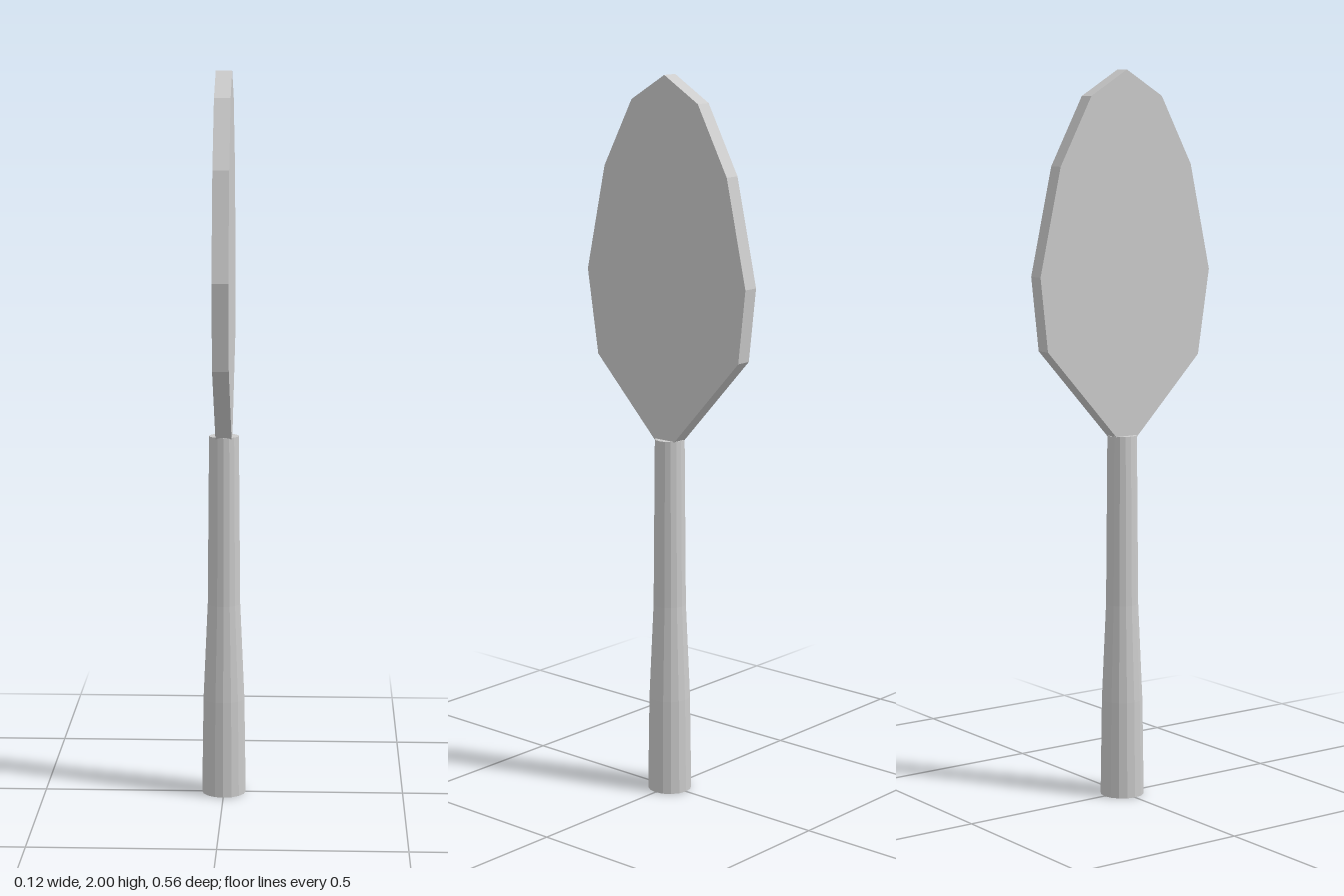
import * as THREE from 'three';

export function createModel() {
  const group = new THREE.Group();
  const material = new THREE.MeshStandardMaterial({ color: 0xcccccc, flatShading: true });

  // Handle: tapered low-poly turning, closed at both ends
  const profile = [[0, 0], [0.061, 0], [0.057, 0.27], [0.045, 0.54], [0.041, 1.01], [0, 1.01]]
    .map(([r, y]) => new THREE.Vector2(r, y));
  const handle = new THREE.Mesh(new THREE.LatheGeometry(profile, 16), material);
  handle.name = 'handle';
  group.add(handle);

  // Blade: flat faceted leaf outline (z, y) with its tip sunk into the handle
  const outline = [
    [0, 0.97], [0.245, 1.22], [0.282, 1.455], [0.217, 1.745], [0.117, 1.93], [0, 2],
    [-0.117, 1.93], [-0.217, 1.745], [-0.283, 1.455], [-0.26, 1.255],
  ].map(([z, y]) => new THREE.Vector2(z, y));
  const thickness = 0.044;
  const bladeGeometry = new THREE.ExtrudeGeometry(new THREE.Shape(outline), {
    depth: thickness, bevelEnabled: false,
  });
  bladeGeometry.translate(0, 0, -thickness / 2).rotateY(-Math.PI / 2);
  const blade = new THREE.Mesh(bladeGeometry, material);
  blade.name = 'blade';
  group.add(blade);

  return group;
}
